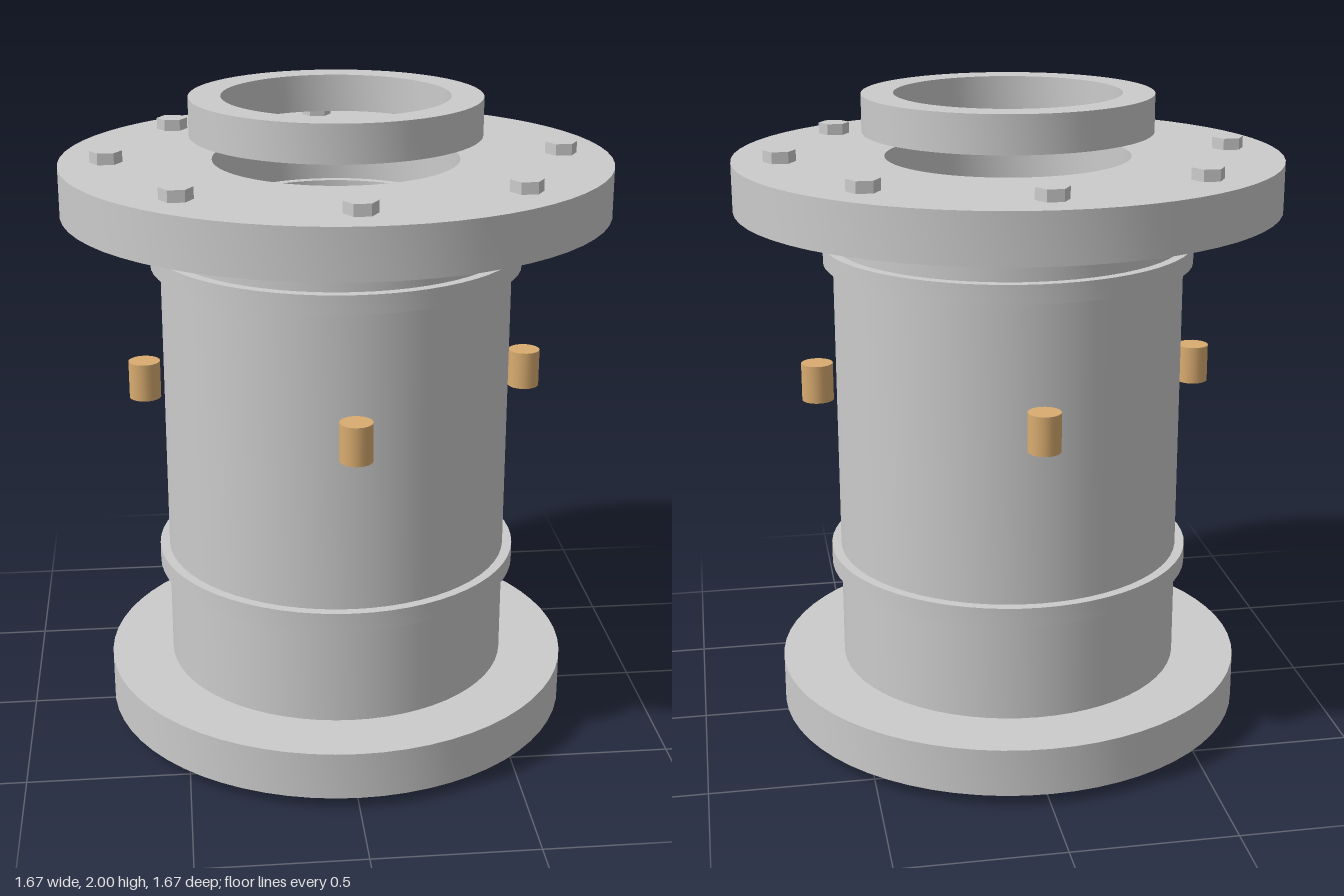
import * as THREE from 'three';
import { toCreasedNormals } from 'three/addons/utils/BufferGeometryUtils.js';

const grey = new THREE.MeshStandardMaterial({ color: 0xcccccc });
const brass = new THREE.MeshStandardMaterial({ color: 0xd9ac70 });

// Closed annular ring with sharp rims, from y0 to y1
function ring(name, inner, outer, y0, y1) {
  const profile = [[inner, y0], [outer, y0], [outer, y1], [inner, y1], [inner, y0]]
    .map(([r, y]) => new THREE.Vector2(r, y));
  const geometry = toCreasedNormals(new THREE.LatheGeometry(profile, 64), 0.5);
  const mesh = new THREE.Mesh(geometry, grey);
  mesh.name = name;
  return mesh;
}

// Identical parts spread evenly on a circle
function circleOf(name, geometry, material, count, radius, y) {
  const group = new THREE.Group();
  group.name = name + 's';
  for (let i = 0; i < count; i++) {
    const a = (i / count) * Math.PI * 2;
    const mesh = new THREE.Mesh(geometry, material);
    mesh.name = name;
    mesh.position.set(Math.cos(a) * radius, y, Math.sin(a) * radius);
    group.add(mesh);
  }
  return group;
}

// Hexagonal bolt head with two corners along x
function hexHead(radius, height) {
  return toCreasedNormals(new THREE.CylinderGeometry(radius, radius, height, 6).rotateY(Math.PI / 6), 0.5);
}

export function createModel() {
  const model = new THREE.Group();
  model.name = 'flangedHousing';

  // Tube, flanges and raised bands
  model.add(
    ring('bodyTube', 0.345, 0.54, 0.185, 1.66),
    ring('lowerFlange', 0.375, 0.738, 0.035, 0.185),
    ring('upperFlange', 0.375, 0.835, 1.66, 1.81),
    ring('lowerBand', 0.53, 0.57, 0.503, 0.562),
    ring('upperBand', 0.53, 0.57, 1.488, 1.546),
    // Separate collar above the upper flange
    ring('topCollar', 0.345, 0.442, 1.885, 2.0)
  );

  // Bolt heads on both flanges
  model.add(
    circleOf('upperBolt', hexHead(0.049, 0.04), grey, 8, 0.69, 1.825),
    circleOf('lowerBolt', hexHead(0.038, 0.04), grey, 6, 0.59, 0.02)
  );

  // Four brass ports around the tube
  const port = new THREE.CylinderGeometry(0.049, 0.049, 0.118, 24);
  model.add(circleOf('port', port, brass, 4, 0.6, 1.122));

  return model;
}
